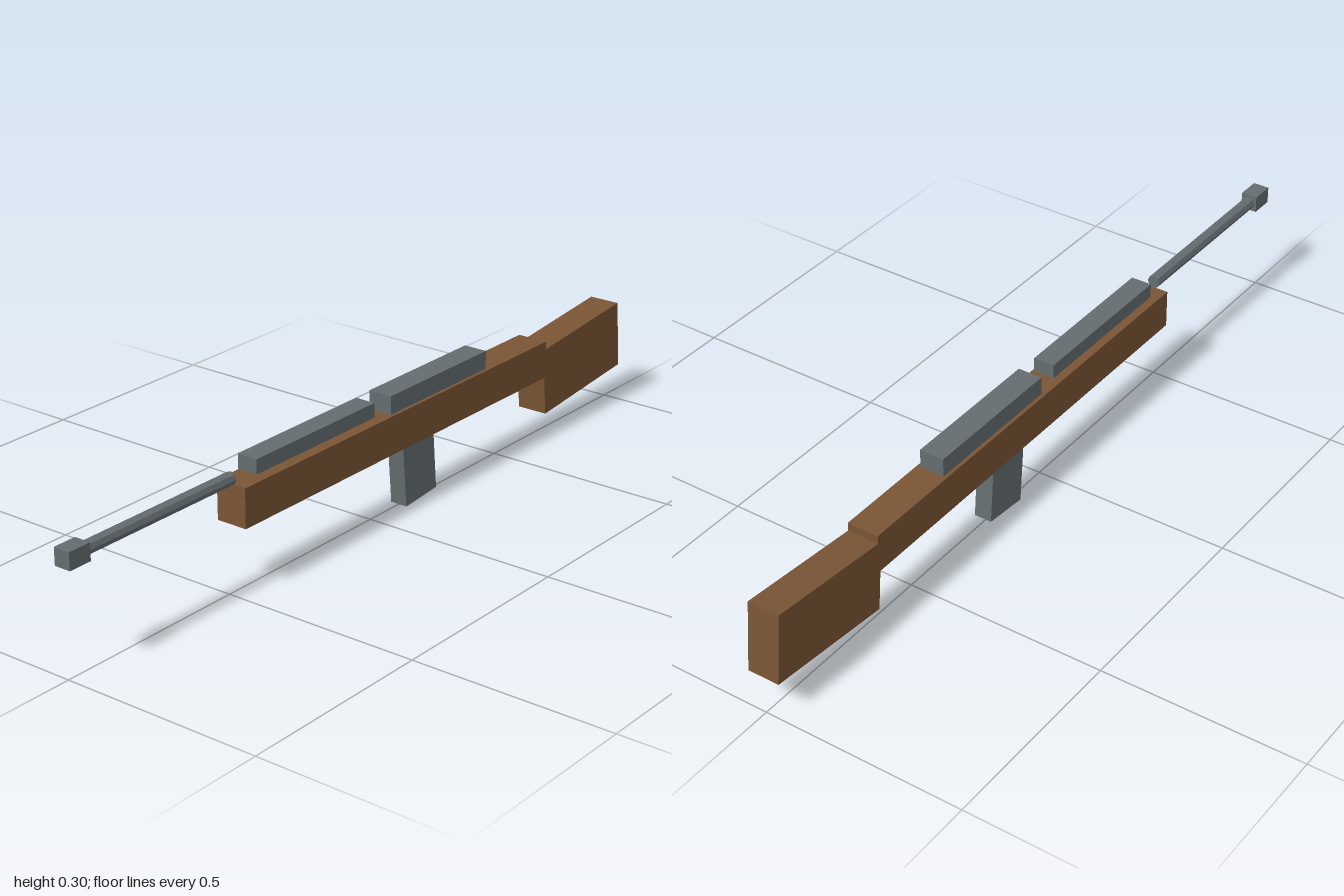
import * as THREE from 'three';

export function createModel() {
  const wood = new THREE.MeshStandardMaterial({ color: 0x7a5535 });
  wood.name = 'brownWood';
  const steel = new THREE.MeshStandardMaterial({ color: 0x656d70 });
  steel.name = 'greySteel';

  const model = new THREE.Group();
  model.name = 'rifle';

  // Centred box: size and centre in y and z, optional tilt about x
  function box(name, material, [w, h, d], [y, z], tilt = 0) {
    const mesh = new THREE.Mesh(new THREE.BoxGeometry(w, h, d), material);
    mesh.name = name;
    mesh.position.set(0, y, z);
    mesh.rotation.x = tilt;
    model.add(mesh);
  }

  // Wooden body and tilted shoulder stock
  box('body', wood, [0.08, 0.096, 1.144], [0.211, -0.085]);
  box('stock', wood, [0.08, 0.174, 0.338], [0.167, -0.8235], 0.095);

  // Steel covers along the top
  box('receiverCover', steel, [0.062, 0.047, 0.375], [0.2815, -0.2245]);
  box('handguard', steel, [0.053, 0.036, 0.414], [0.287, 0.225]);

  // Magazine leaning backwards and trigger under the body
  box('magazine', steel, [0.045, 0.153, 0.118], [0.0815, -0.162], 0.087);
  box('trigger', steel, [0.015, 0.02, 0.075], [0.162, -0.3635]);

  // Faceted barrel with square muzzle
  const barrelGeometry = new THREE.CylinderGeometry(0.016, 0.016, 0.483, 8).toNonIndexed();
  barrelGeometry.rotateX(Math.PI / 2);
  barrelGeometry.computeVertexNormals();
  const barrel = new THREE.Mesh(barrelGeometry, steel);
  barrel.name = 'barrel';
  barrel.position.set(0, 0.273, 0.7285);
  model.add(barrel);
  box('muzzle', steel, [0.042, 0.042, 0.06], [0.273, 0.97]);

  return model;
}
